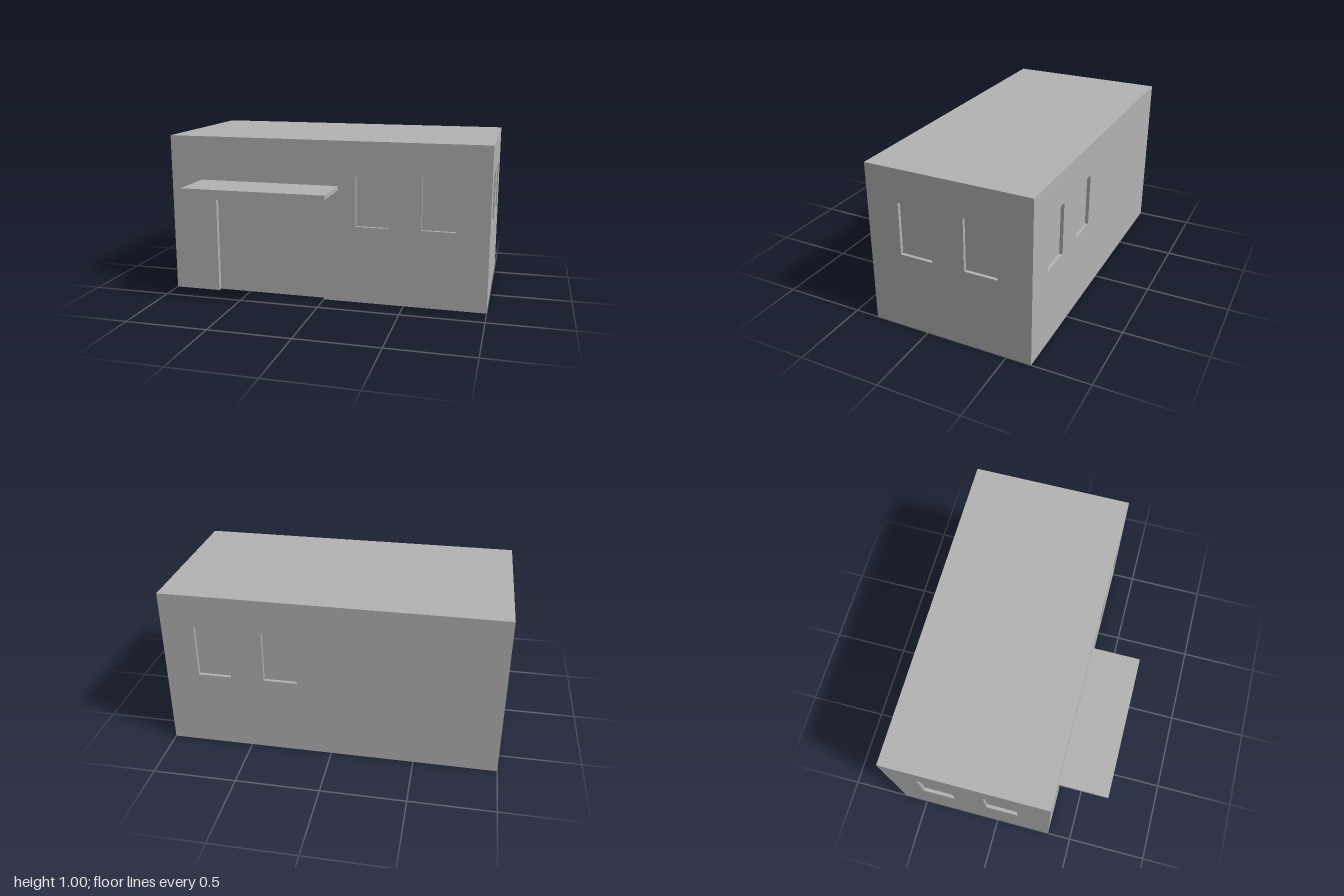
import * as THREE from 'three';

const HEIGHT = 1;
const HALF_WIDTH = 1;
const HALF_DEPTH = 0.5;
const SILL = 0.48;
const HEAD = 0.8;

const wallGrey = new THREE.MeshStandardMaterial({ color: 0xb3b3b3, side: THREE.DoubleSide });
wallGrey.name = 'wallGrey';

function addMesh(parent, name, geometry) {
  const mesh = new THREE.Mesh(geometry, wallGrey);
  mesh.name = name;
  parent.add(mesh);
  return mesh;
}

// Shallow pocket behind an opening: back panel plus its side, top and bottom reveals
function addRecess(parent, name, x0, x1, y0, y1, depth) {
  const recess = new THREE.Group();
  recess.name = name;
  const w = x1 - x0, h = y1 - y0, cx = (x0 + x1) / 2, cy = (y0 + y1) / 2;
  addMesh(recess, 'panel', new THREE.PlaneGeometry(w, h)).position.set(cx, cy, -depth);
  for (const side of [-1, 1]) {
    const jamb = addMesh(recess, 'jamb', new THREE.PlaneGeometry(depth, h));
    jamb.rotation.y = -side * Math.PI / 2;
    jamb.position.set(cx + side * w / 2, cy, -depth / 2);
    if (side < 0 && y0 === 0) continue; // no sill on the door
  }
  for (const side of y0 > 0 ? [-1, 1] : [1]) {
    const edge = addMesh(recess, side > 0 ? 'head' : 'sill', new THREE.PlaneGeometry(w, depth));
    edge.rotation.x = side * Math.PI / 2;
    edge.position.set(cx, cy + side * h / 2, -depth / 2);
  }
  parent.add(recess);
}

// Thin wall facing local +z, with recessed windows and an optional door notch
function makeWall(name, half, windows, door) {
  const wall = new THREE.Group();
  wall.name = name;
  const shape = new THREE.Shape();
  shape.moveTo(-half, 0);
  if (door) {
    shape.lineTo(door.x0, 0);
    shape.lineTo(door.x0, door.top);
    shape.lineTo(door.x1, door.top);
    shape.lineTo(door.x1, 0);
    addRecess(wall, 'door', door.x0, door.x1, 0, door.top, 0.03);
  }
  shape.lineTo(half, 0);
  shape.lineTo(half, HEIGHT);
  shape.lineTo(-half, HEIGHT);
  shape.closePath();
  for (const [x0, x1] of windows) {
    const hole = new THREE.Path();
    hole.moveTo(x0, SILL);
    hole.lineTo(x0, HEAD);
    hole.lineTo(x1, HEAD);
    hole.lineTo(x1, SILL);
    hole.closePath();
    shape.holes.push(hole);
    addRecess(wall, 'window', x0, x1, SILL, HEAD, 0.02);
  }
  addMesh(wall, 'wallFace', new THREE.ShapeGeometry(shape));
  return wall;
}

export function createModel() {
  const model = new THREE.Group();
  model.name = 'building';

  // Hollow shell, open underneath
  const shell = new THREE.Group();
  shell.name = 'shell';
  shell.position.z = -0.15;
  model.add(shell);

  const front = makeWall('frontWall', HALF_WIDTH, [[0.2, 0.4], [0.6, 0.8]],
    { x0: -0.706, x1: 0, top: 0.6 });
  front.position.z = HALF_DEPTH;

  const back = makeWall('backWall', HALF_WIDTH, [[-0.8, -0.6], [-0.4, -0.2]]);
  back.rotation.y = Math.PI;
  back.position.z = -HALF_DEPTH;
  shell.add(front, back);

  for (const side of [-1, 1]) {
    const end = makeWall(side > 0 ? 'leftWall' : 'rightWall', HALF_DEPTH, [[-0.3, -0.1], [0.1, 0.3]]);
    end.rotation.y = side * Math.PI / 2;
    end.position.x = side * HALF_WIDTH;
    shell.add(end);
  }

  // Flat roof
  const roof = addMesh(shell, 'roof', new THREE.PlaneGeometry(2 * HALF_WIDTH, 2 * HALF_DEPTH));
  roof.rotation.x = -Math.PI / 2;
  roof.position.y = HEIGHT;

  // Canopy slab over the door
  const canopy = addMesh(model, 'canopy', new THREE.BoxGeometry(0.888, 0.025, 0.3));
  canopy.position.set(-0.353, 0.7125, 0.5);

  return model;
}
